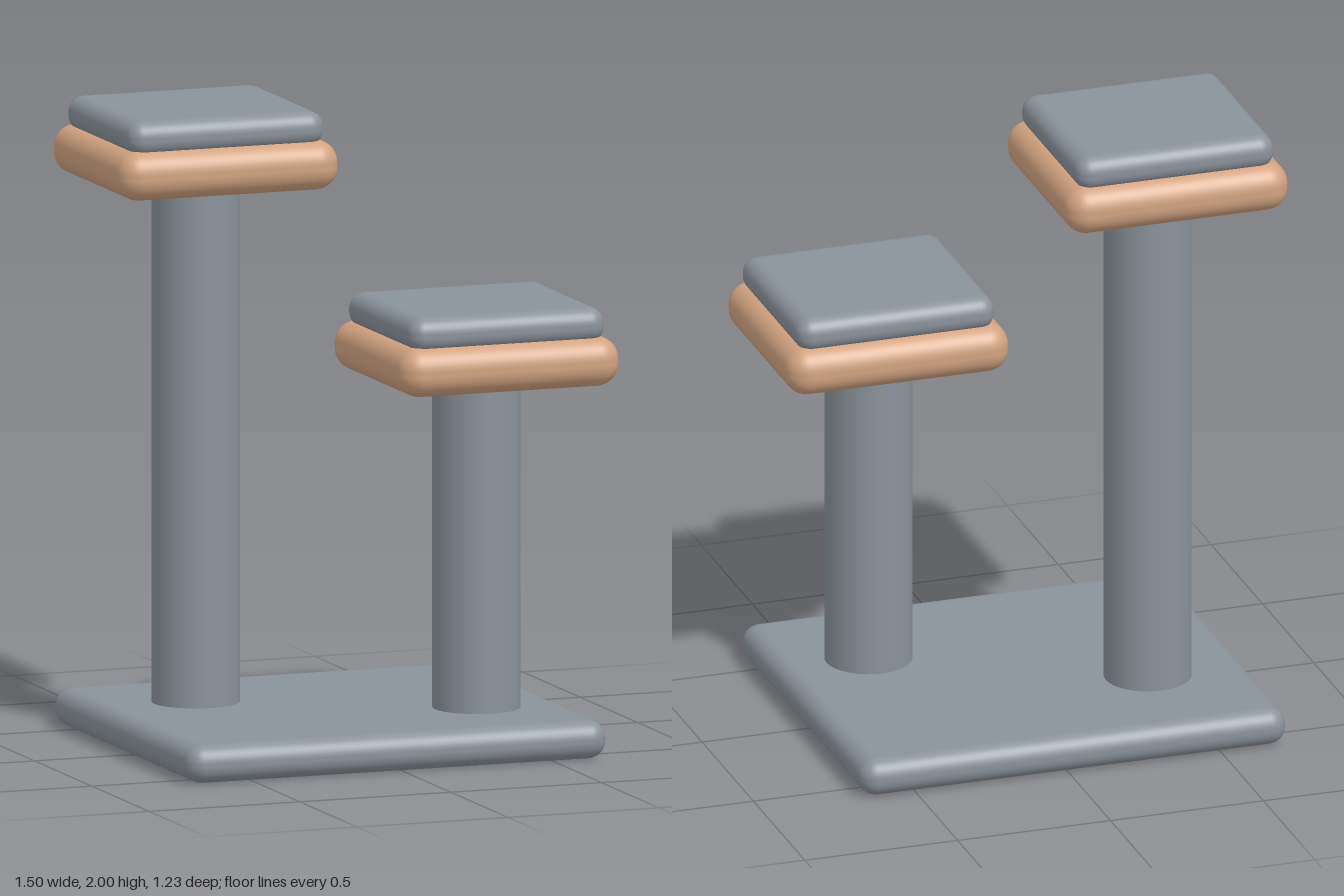
import * as THREE from 'three';
import { RoundedBoxGeometry } from 'three/addons/geometries/RoundedBoxGeometry.js';

const plush = new THREE.MeshStandardMaterial({ color: 0x8a929a });
plush.name = 'grey plush';
const wood = new THREE.MeshStandardMaterial({ color: 0xd2a380 });
wood.name = 'tan trim';

// Rounded slab given its width, depth, bottom, top and edge radius
function slab(name, material, w, d, y0, y1, radius) {
  const mesh = new THREE.Mesh(new RoundedBoxGeometry(w, y1 - y0, d, 5, radius), material);
  mesh.name = name;
  mesh.position.y = (y0 + y1) / 2;
  return mesh;
}

// One perch: round post, padded platform and cushion
function perch(name, x, z, top) {
  const group = new THREE.Group();
  group.name = name;
  group.position.set(x, 0, z);

  const y0 = 0.1, y1 = top - 0.23;
  const post = new THREE.Mesh(new THREE.CylinderGeometry(0.137, 0.137, y1 - y0, 32), plush);
  post.name = 'post';
  post.position.y = (y0 + y1) / 2;

  group.add(
    post,
    slab('platform', wood, 0.727, 0.676, top - 0.245, top - 0.09, 0.07),
    slab('cushion', plush, 0.648, 0.598, top - 0.11, top, 0.05)
  );
  return group;
}

export function createModel() {
  const model = new THREE.Group();
  model.name = 'catTree';

  const base = slab('base', plush, 1.392, 1.23, 0, 0.12, 0.056);
  base.position.x = -0.019;

  model.add(base, perch('tallPerch', -0.391, -0.196, 2), perch('shortPerch', 0.386, 0.21, 1.4));
  return model;
}
